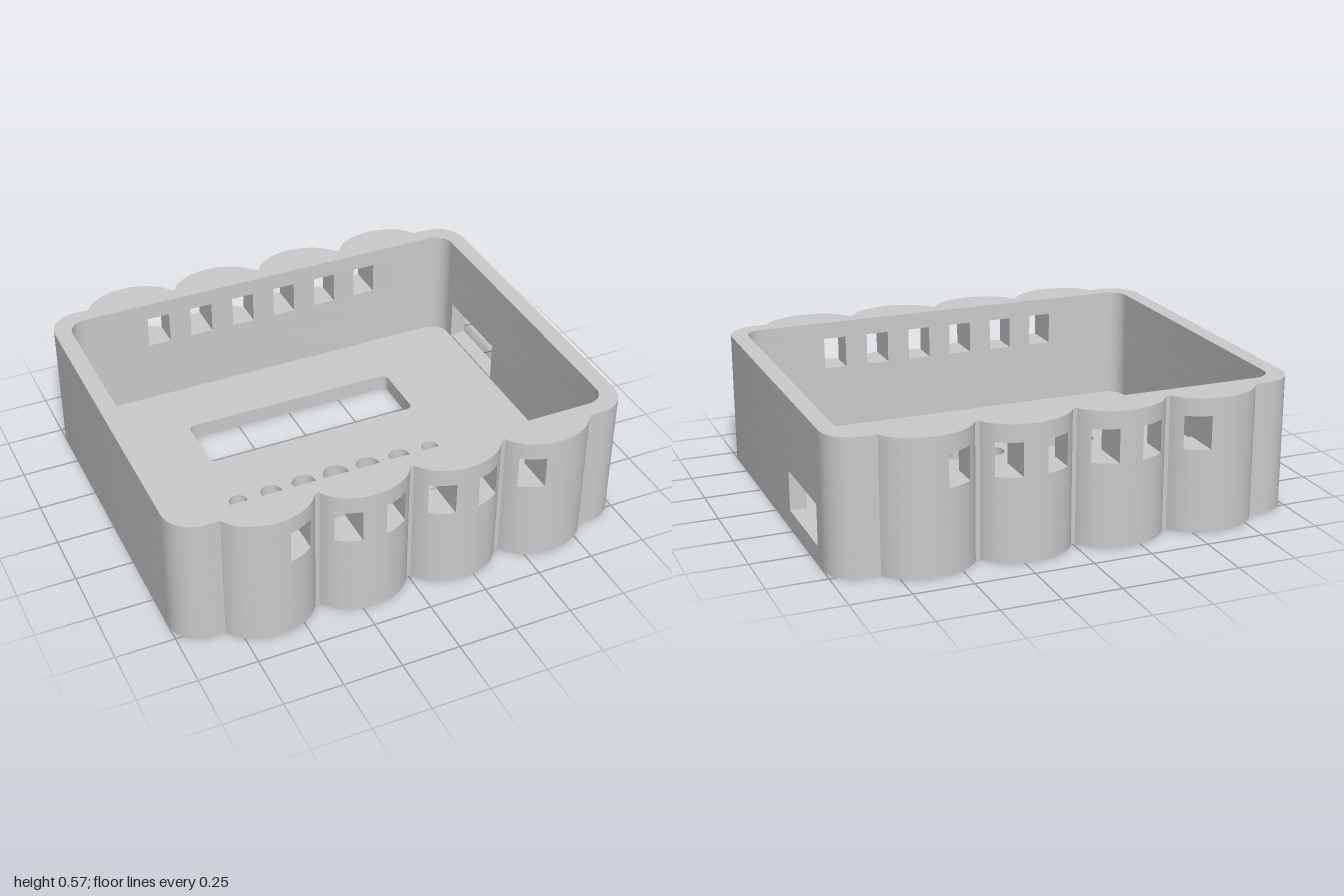
import * as THREE from 'three';
import { toCreasedNormals } from 'three/addons/utils/BufferGeometryUtils.js';

const HEIGHT = 0.575, FLOOR = 0.072;
const SIDE_WINDOW = { y0: 0.079, y1: 0.253, z0: -0.607, z1: -0.213 };
const FRONT_WINDOW = { y0: 0.358, y1: 0.5, half: 0.051, pitch: 0.2035 };
const OUTER = { x: 1, z: 0.797, r: 0.13, bumps: [-0.612, -0.2035, 0.2035, 0.612] };
const INNER = { x: 0.928, z: 0.725, r: 0.08, bumps: [] };
// Elliptical bumps, cut off where they meet the wall
const BUMP = { rx: 0.21, rz: 0.16, half: 0.195, z: 0.737 };

// Front edge of a wall outline, as [x, z] points from -x to +x
function profile(o) {
  const pts = [], n = 10;
  const corner = (s, t) => pts.push([s * (o.x - o.r + o.r * Math.sin(t)), o.z - o.r + o.r * Math.cos(t)]);
  for (let i = n; i >= 0; i--) corner(-1, (i / n) * Math.PI / 2);
  const a = Math.asin(BUMP.half / BUMP.rx);
  for (const c of o.bumps) {
    for (let i = 0; i <= 24; i++) {
      const t = a * (i / 12 - 1);
      pts.push([c + BUMP.rx * Math.sin(t), BUMP.z + BUMP.rz * Math.cos(t)]);
    }
  }
  for (let i = 0; i <= n; i++) corner(1, (i / n) * Math.PI / 2);
  return pts;
}

// Part of a profile between two x positions
function clip(pts, a, b) {
  const at = (x) => {
    const i = Math.max(1, pts.findIndex((p) => p[0] >= x));
    const [p, q] = [pts[i - 1], pts[i]];
    return [x, p[1] + (q[1] - p[1]) * (x - p[0]) / (q[0] - p[0])];
  };
  const mid = pts.filter((p) => p[0] > a + 1e-4 && p[0] < b - 1e-4);
  return [at(a), ...mid, at(b)];
}

const flipZ = (pts) => pts.map(([x, z]) => [x, -z]);
const flipX = (pts) => pts.map(([x, z]) => [-x, z]);
const rev = (pts) => [...pts].reverse();
// Full outline, starting and ending on the +x wall
const loop = (pts) => [...rev(pts), ...flipZ(pts)];
const toVectors = (pts) => pts.map(([x, z]) => new THREE.Vector2(x, -z));

export function createModel() {
  const group = new THREE.Group();
  const grey = new THREE.MeshStandardMaterial({ color: 0xcacaca });
  grey.name = 'grey plastic';

  // Raises a plan outline from y0 to y1
  function slab(name, pts, y0, y1, holes = []) {
    const shape = new THREE.Shape(toVectors(pts));
    shape.holes = holes;
    const geo = new THREE.ExtrudeGeometry(shape, { depth: y1 - y0, bevelEnabled: false, curveSegments: 16 });
    geo.rotateX(-Math.PI / 2);
    geo.translate(0, y0, 0);
    const mesh = new THREE.Mesh(toCreasedNormals(geo, 0.5), grey);
    mesh.name = name;
    group.add(mesh);
  }

  const outer = profile(OUTER), inner = profile(INNER);
  const outerLoop = loop(outer), innerLoop = rev(loop(inner));

  // Floor with display slot and speaker holes
  const holes = [];
  const slot = new THREE.Path();
  const sx = 0.494, z0 = -0.44, z1 = -0.155, r = 0.03;
  slot.absarc(sx - r, -z0 - r, r, 0, Math.PI / 2);
  slot.absarc(-sx + r, -z0 - r, r, Math.PI / 2, Math.PI);
  slot.absarc(-sx + r, -z1 + r, r, Math.PI, Math.PI * 1.5);
  slot.absarc(sx - r, -z1 + r, r, Math.PI * 1.5, Math.PI * 2);
  holes.push(slot);
  const radii = [0.058, 0.053, 0.047, 0.04];
  for (let row = -1; row <= 1; row++) {
    for (let i = -3; i <= 3; i++) {
      const hole = new THREE.Path();
      hole.absarc(row * 0.027 + i * 0.153, -(0.291 + row * 0.15), radii[Math.abs(i)], 0, Math.PI * 2);
      holes.push(hole);
    }
  }
  slab('floor', outerLoop, 0, FLOOR, holes);

  // Unbroken wall bands; the hole runs opposite to the outline so its faces look inward
  const ring = (name, y0, y1) => slab(name, outerLoop, y0, y1, [new THREE.Path(toVectors(innerLoop))]);
  ring('lowerWall', FLOOR, SIDE_WINDOW.y0);
  ring('middleWall', SIDE_WINDOW.y1, FRONT_WINDOW.y0);
  ring('rimWall', FRONT_WINDOW.y1, HEIGHT);

  // Wall band open at the left side window
  const { z0: wa, z1: wb } = SIDE_WINDOW;
  slab('sideWindowWall', [
    [OUTER.x, wb], ...outerLoop, [OUTER.x, wa],
    [INNER.x, wa], ...innerLoop, [INNER.x, wb],
  ], SIDE_WINDOW.y0, SIDE_WINDOW.y1);

  // Wall band split by the front and back windows: two ends and the piers between
  const { y0, y1, half, pitch } = FRONT_WINDOW;
  const edge = 2.5 * pitch + half;
  const outEnd = clip(outer, edge, OUTER.x), inEnd = clip(inner, edge, INNER.x);
  const end = [...outEnd, ...rev(flipZ(outEnd)), ...flipZ(inEnd), ...rev(inEnd)];
  slab('leftEndWall', end, y0, y1);
  slab('rightEndWall', flipX(end), y0, y1);
  for (let i = -2; i <= 2; i++) {
    const a = i * pitch - pitch / 2 + half, b = i * pitch + pitch / 2 - half;
    const pier = [...clip(outer, a, b), [b, INNER.z], [a, INNER.z]];
    slab('frontPier', pier, y0, y1);
    slab('backPier', flipZ(pier), y0, y1);
  }
  return group;
}
